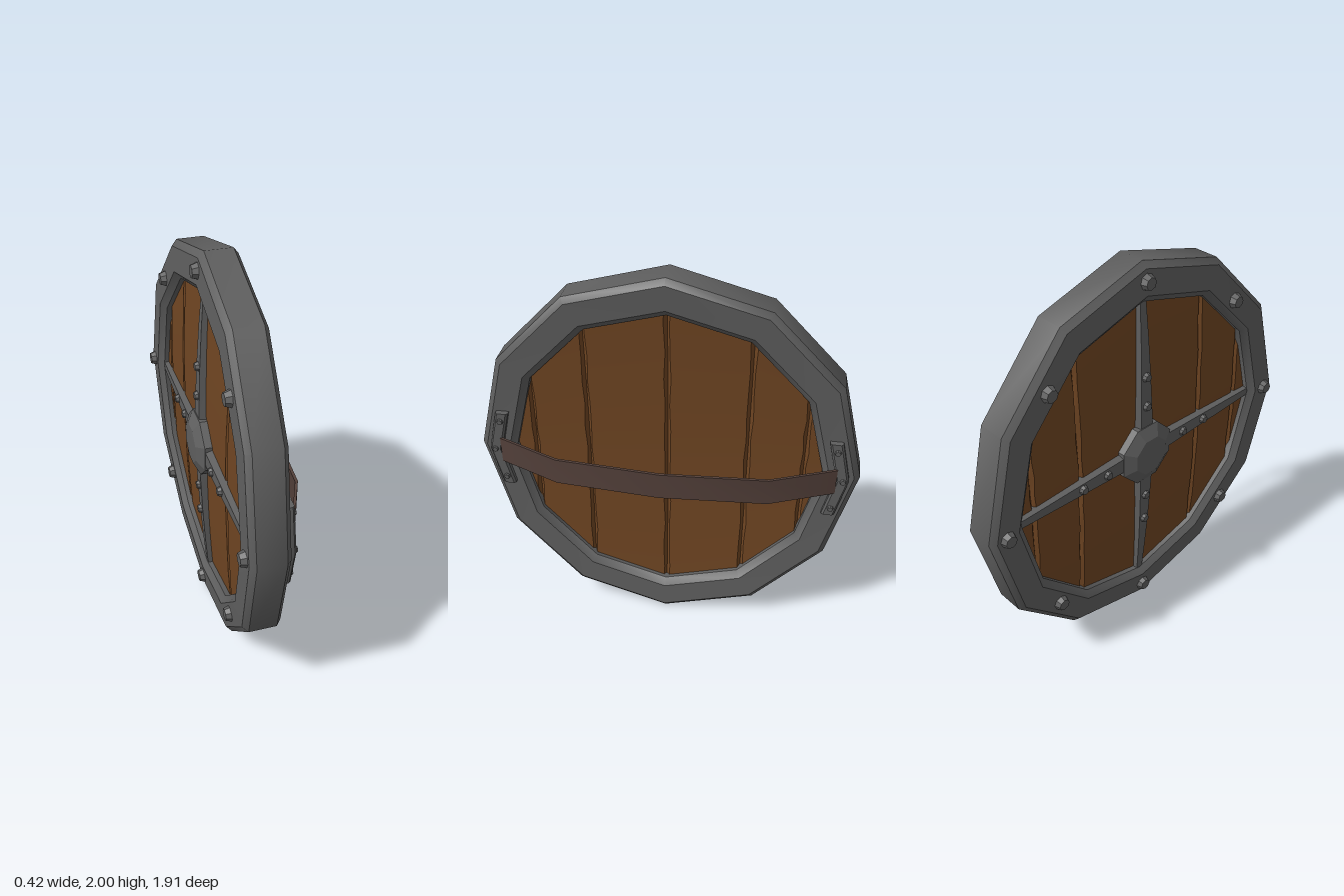
import * as THREE from 'three';
import { toCreasedNormals } from 'three/addons/utils/BufferGeometryUtils.js';

const CREASE = 0.62;
const ZS = 0.955; // the shield is slightly narrower than tall

// Gentle bow of the shield: top and bottom sweep toward +x
const bow = (y) => 0.045 * (y - 1) ** 2;

const mat = (name, color) => {
  const m = new THREE.MeshStandardMaterial({ color });
  m.name = name;
  return m;
};

// Skin a list of [x, y, z] loops; each loop runs counter-clockwise about the travel direction
function loft(sections, closed = false) {
  const n = sections[0].length;
  const pos = [];
  const index = [];
  sections.forEach((s) => s.forEach((p) => pos.push(...p)));
  const rows = closed ? sections.length : sections.length - 1;
  for (let i = 0; i < rows; i++) {
    const k = ((i + 1) % sections.length) * n;
    for (let j = 0; j < n; j++) {
      const a = i * n + j;
      const b = i * n + ((j + 1) % n);
      const c = k + ((j + 1) % n);
      const d = k + j;
      index.push(a, b, c, a, c, d);
    }
  }
  if (!closed) {
    const e = (sections.length - 1) * n;
    for (let j = 1; j < n - 1; j++) index.push(0, j + 1, j, e, e + j, e + j + 1);
  }
  const g = new THREE.BufferGeometry();
  g.setAttribute('position', new THREE.Float32BufferAttribute(pos, 3));
  g.setIndex(index);
  return toCreasedNormals(g, CREASE);
}

// Chamfered bar outline as [z, x] pairs
const barSection = (z0, z1, x0, x1, bl, br, d) => [
  [z0, x0 + d], [z0 + bl, x0], [z1 - br, x0], [z1, x0 + d],
  [z1, x1 - d], [z1 - br, x1], [z0 + bl, x1], [z0, x1 - d],
];

export function createModel() {
  const root = new THREE.Group();
  root.name = 'roundShield';
  const iron = mat('iron', 0x5e5e5e);
  const wood = mat('wood', 0x6f4522);
  const leather = mat('leather', 0x53403a);

  const add = (name, geometry, material, parent = root) => {
    const m = new THREE.Mesh(geometry, material);
    m.name = name;
    parent.add(m);
    return m;
  };

  // Twelve-sided bevelled rim
  const profile = [
    [0, 0.845], [0, 0.97], [-0.025, 1], [-0.16, 1],
    [-0.185, 0.97], [-0.185, 0.845], [-0.155, 0.81], [-0.03, 0.81],
  ];
  const rings = [];
  for (let i = 0; i < 12; i++) {
    const a = (i / 12) * Math.PI * 2;
    rings.push(profile.map(([x, r]) => {
      const y = 1 + r * Math.cos(a);
      return [x + bow(y), y, r * ZS * Math.sin(a)];
    }));
  }
  add('rim', loft(rings, true), iron);

  // Vertical planks with worn, chamfered edges; ends are hidden inside the rim
  const planks = new THREE.Group();
  planks.name = 'planks';
  root.add(planks);
  const seams = [-0.84, -0.68, -0.4, 0, 0.4, 0.68, 0.84];
  const reach = (z) => 0.9 * Math.sqrt(1 - (z / 0.86) ** 2);
  for (let p = 0; p < seams.length - 1; p++) {
    const rows = [];
    for (let i = 0; i <= 12; i++) {
      const t = (i / 12) * 2 - 1;
      const bl = 0.014 + 0.004 * Math.sin(i * 2.7 + p * 5.1);
      const br = 0.014 + 0.004 * Math.sin(i * 3.9 + p * 2.3);
      rows.push(barSection(seams[p], seams[p + 1], -0.13, -0.05, bl, br, 0.018).map(([z, x]) => {
        const y = 1 + t * reach(z);
        return [x + bow(y), y, z];
      }));
    }
    add('plank', loft(rows), wood, planks);
  }

  // Bolt heads; dir is the side of the shield they point to
  const bolts = new THREE.Group();
  bolts.name = 'bolts';
  root.add(bolts);
  const bolt = (name, x, y, z, r, h, dir) => {
    const g = toCreasedNormals(new THREE.CylinderGeometry(r * 0.72, r, h, 8), CREASE);
    const m = add(name, g, iron, bolts);
    m.rotation.z = -dir * Math.PI / 2;
    m.position.set(x + bow(y), y, z);
  };
  for (let i = 0; i < 8; i++) {
    const a = (i / 8) * Math.PI * 2;
    const r = i % 2 ? 0.87 : 0.91;
    bolt('rimBolt', -0.195, 1 + r * Math.cos(a), r * ZS * Math.sin(a), 0.042, 0.035, -1);
  }

  // Four tapering cross arms on the outer face, each with two studs
  for (let q = 0; q < 4; q++) {
    const a = (q * Math.PI) / 2;
    const c = Math.cos(a);
    const s = Math.sin(a);
    const rows = [];
    for (let i = 0; i <= 4; i++) {
      const t = i / 4;
      const r = 0.04 + 0.79 * t;
      const w = 0.058 - 0.033 * t;
      const top = -0.166 + 0.012 * t;
      const outline = [[-0.75 * w, top], [0.75 * w, top], [w, -0.115], [-w, -0.115]];
      rows.push(outline.map(([v, x]) => {
        const y = 1 + c * r - s * v;
        return [x + bow(y), y, (s * r + c * v) * ZS];
      }));
    }
    add('crossArm', loft(rows), iron);
    for (const r of [0.27, 0.43]) bolt('armStud', -0.167, 1 + c * r, s * r * ZS, 0.026, 0.022, -1);
  }

  // Octagonal central boss
  const bossProfile = [[0.17, 0], [0.17, 0.05], [0.105, 0.082], [0, 0.086]]
    .map(([r, h]) => new THREE.Vector2(r, h));
  const boss = add('boss', toCreasedNormals(
    new THREE.LatheGeometry(bossProfile, 8, Math.PI / 8), 0.3), iron);
  boss.rotation.z = Math.PI / 2;
  boss.position.set(-0.117, 1, 0);

  // Bent strap brackets on the inner face
  for (const side of [-1, 1]) {
    const rows = [[0.785, 0.82], [1, 0.87], [1.215, 0.82]].map(([y, z]) =>
      barSection(side * z - 0.032, side * z + 0.032, -0.01, 0.034, 0.01, 0.01, 0.01)
        .map(([pz, px]) => [px, y, pz]));
    add('strapBracket', loft(rows), iron);
    for (const [y, z] of [[0.83, 0.83], [1, 0.872], [1.17, 0.83]]) {
      bolt('bracketBolt', 0.036, y, side * z, 0.018, 0.016, 1);
    }
  }

  // Leather arm strap bowed away from the planks
  const path = [[0.032, -0.84], [0.165, -0.52], [0.202, 0], [0.165, 0.52], [0.032, 0.84]];
  const h = 0.07;
  const t = 0.007;
  add('armStrap', loft(path.map(([x, z]) => [
    [x + t, 1 - h, z], [x + t, 1 + h, z], [x - t, 1 + h, z], [x - t, 1 - h, z],
  ])), leather);

  return root;
}
